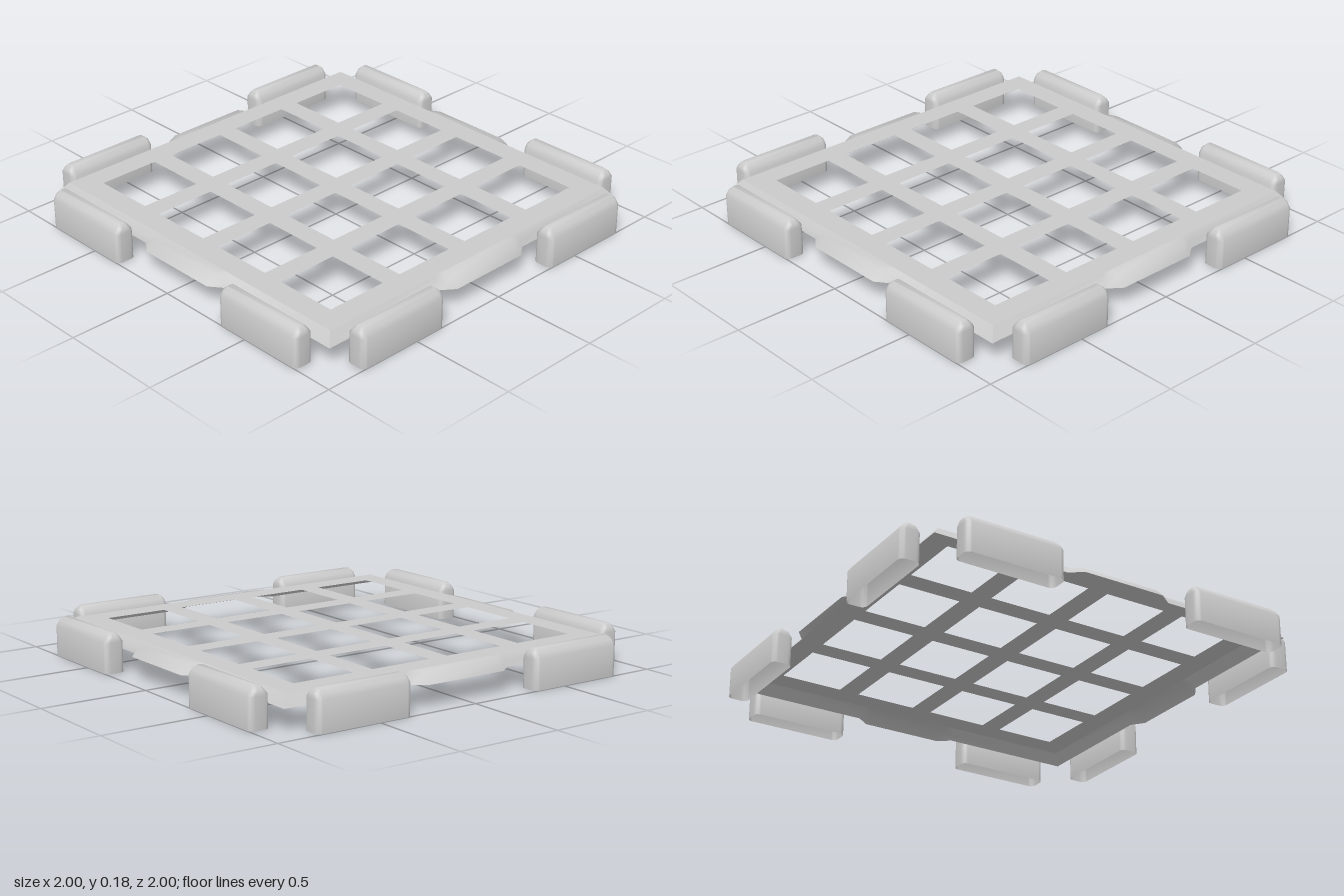
import * as THREE from 'three';
import { toCreasedNormals } from 'three/addons/utils/BufferGeometryUtils.js';

const material = new THREE.MeshStandardMaterial({ color: 0xcccccc, side: THREE.DoubleSide });

// Skin closed rings of [x, y, z] points, lowest last or first; optionally cap the last ring
function loft(rings, cap, crease) {
  const n = rings[0].length;
  const positions = rings.flat(2);
  const index = [];
  for (let r = 0; r + 1 < rings.length; r++) {
    for (let i = 0; i < n; i++) {
      const a = r * n + i, b = r * n + (i + 1) % n;
      index.push(a, b, b + n, a, b + n, a + n);
    }
  }
  if (cap) {
    const start = (rings.length - 1) * n;
    for (let i = 1; i + 1 < n; i++) index.push(start, start + i, start + i + 1);
  }
  const geometry = new THREE.BufferGeometry();
  geometry.setAttribute('position', new THREE.Float32BufferAttribute(positions, 3));
  geometry.setIndex(index);
  return toCreasedNormals(geometry, crease);
}

// Rounded rectangle in plan, counterclockwise seen from above
function roundedRing(halfLength, halfWidth, radius, y) {
  const ring = [];
  [[1, 1], [-1, 1], [-1, -1], [1, -1]].forEach(([sx, sy], corner) => {
    for (let k = 0; k <= 4; k++) {
      const a = (corner + k / 4) * Math.PI / 2;
      ring.push([
        sx * (halfLength - radius) + radius * Math.cos(a), y,
        -(sy * (halfWidth - radius) + radius * Math.sin(a))
      ]);
    }
  });
  return ring;
}

// Repeat one side's edge points around the square
function aroundSquare(side) {
  const ring = [];
  for (let k = 0; k < 4; k++) {
    for (const p of side) {
      let [x, y, z] = p;
      for (let j = 0; j < k; j++) [x, z] = [z, -x];
      ring.push([x, y, z]);
    }
  }
  return ring;
}

export function createModel() {
  const group = new THREE.Group();
  const add = (geometry, name, parent = group) => {
    const mesh = new THREE.Mesh(geometry, material);
    mesh.name = name;
    parent.add(mesh);
    return mesh;
  };

  // Thin grid sheet with 4 x 4 square openings
  const e = 0.86, top = 0.15;
  const sheet = new THREE.Shape();
  sheet.moveTo(-e, -e).lineTo(e, -e).lineTo(e, e).lineTo(-e, e).closePath();
  for (const x of [-0.6, -0.2, 0.2, 0.6]) {
    for (const y of [-0.6, -0.2, 0.2, 0.6]) {
      const h = 0.15;
      const hole = new THREE.Path();
      hole.moveTo(x - h, y - h).lineTo(x - h, y + h).lineTo(x + h, y + h).lineTo(x + h, y - h).closePath();
      sheet.holes.push(hole);
    }
  }
  const grid = add(new THREE.ShapeGeometry(sheet), 'gridSheet');
  grid.rotation.x = -Math.PI / 2;
  grid.position.y = top;

  // Sloping rim that swells into a shallow tab in the middle of each side
  const lower = aroundSquare([
    [-0.9, 0.1, 0.9], [-0.26, 0.1, 0.9], [-0.2, 0.1, 0.945], [0.2, 0.1, 0.945], [0.26, 0.1, 0.9]]);
  const middle = aroundSquare([
    [-0.885, 0.12, 0.885], [-0.26, 0.12, 0.885], [-0.2, 0.142, 0.905], [0.2, 0.142, 0.905], [0.26, 0.12, 0.885]]);
  const upper = aroundSquare([
    [-e, top, e], [-0.25, top, e], [-0.2, top, e], [0.2, top, e], [0.25, top, e]]);
  add(loft([lower, middle, upper], false, Math.PI / 3), 'slopedRim');

  // Hollow feet, open below, two on each side
  const footGeometry = loft([
    roundedRing(0.237, 0.048, 0.025, 0),
    roundedRing(0.237, 0.048, 0.025, 0.14),
    roundedRing(0.234, 0.032, 0.022, 0.163),
    roundedRing(0.215, 0.016, 0.012, 0.18)
  ], true, Math.PI / 4);
  for (let k = 0; k < 4; k++) {
    const pair = new THREE.Group();
    pair.name = 'footPair';
    pair.rotation.y = k * Math.PI / 2;
    for (const s of [-1, 1]) add(footGeometry, 'foot', pair).position.set(s * 0.572, 0, 0.952);
    group.add(pair);
  }
  return group;
}
